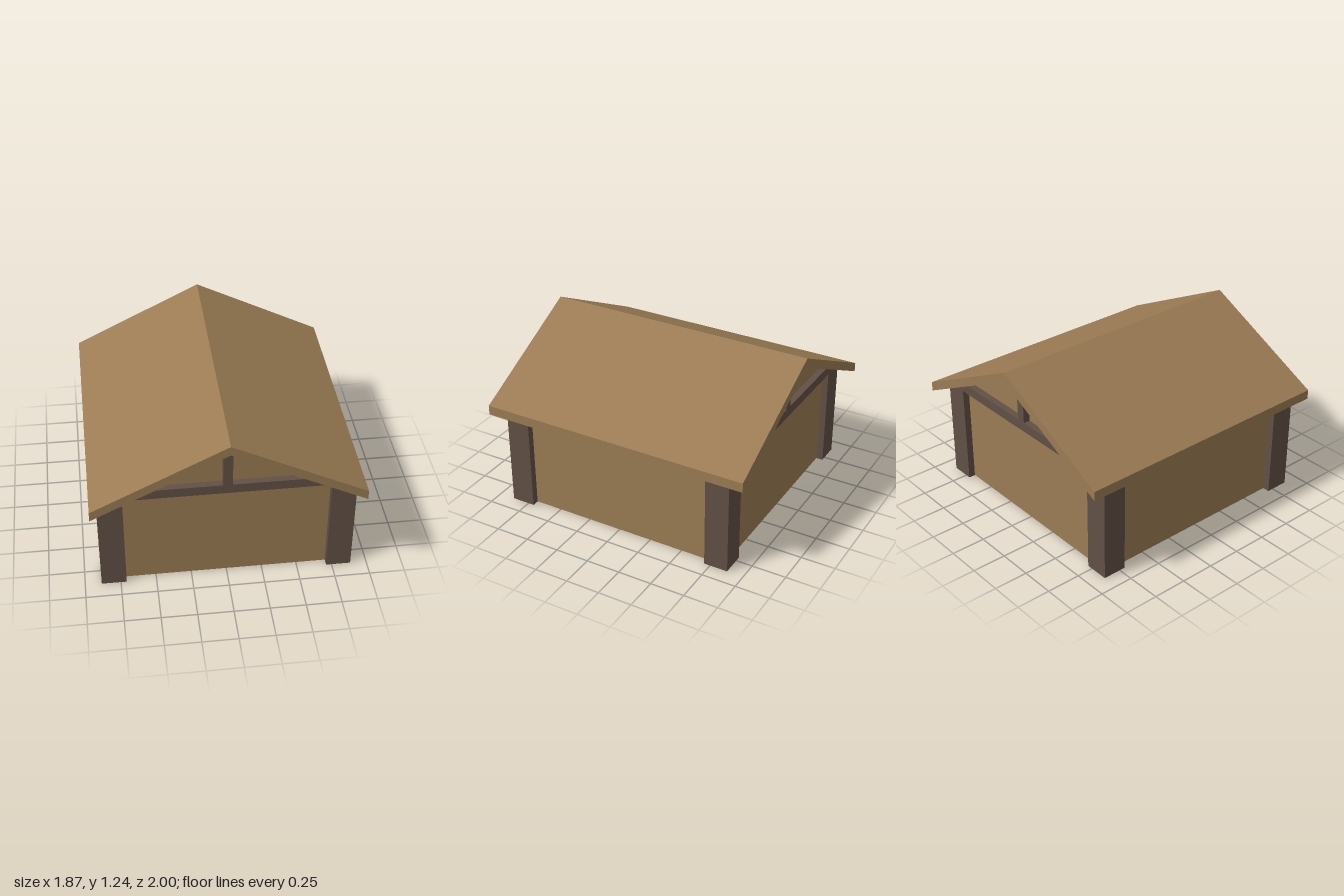
import * as THREE from 'three';

const wood = new THREE.MeshStandardMaterial({ color: 0x9b7c54 });
wood.name = 'tan wood';
const timber = new THREE.MeshStandardMaterial({ color: 0x615045 });
timber.name = 'dark timber';

// Extrude an outline in the x-y plane from z0 to z1
function prism(name, points, z0, z1, material) {
  const shape = new THREE.Shape(points.map(([x, y]) => new THREE.Vector2(x, y)));
  const geometry = new THREE.ExtrudeGeometry(shape, { depth: z1 - z0, bevelEnabled: false });
  geometry.translate(0, 0, z0);
  const mesh = new THREE.Mesh(geometry, material);
  mesh.name = name;
  return mesh;
}

export function createModel() {
  const model = new THREE.Group();
  model.name = 'gabledHouse';

  const ridge = 1.17, slope = 0.5;
  const under = (x) => ridge - slope * Math.abs(x); // underside of the roof
  const roofX = 0.933, thick = 0.07;
  const wallX = 0.835, wallZ = 0.83;
  const postIn = 0.71, postOut = 0.885, postZ = 0.88;

  // Walls with gables
  model.add(prism('walls', [
    [-wallX, 0.002], [wallX, 0.002], [wallX, under(wallX)], [0, ridge], [-wallX, under(wallX)],
  ], -wallZ, wallZ, wood));

  // Gable roof
  model.add(prism('roof', [
    [-roofX, under(roofX)], [0, ridge], [roofX, under(roofX)],
    [roofX, under(roofX) + thick], [0, ridge + thick], [-roofX, under(roofX) + thick],
  ], -1, 1, wood));

  for (const end of [1, -1]) {
    const name = end > 0 ? 'front' : 'back';
    const span = (a, b) => (end > 0 ? [a, b] : [-b, -a]);

    // Corner posts, cut to the roof slope
    for (const side of [1, -1]) {
      model.add(prism(name + (side > 0 ? 'Left' : 'Right') + 'Post', [
        [side * postIn, 0], [side * postOut, 0],
        [side * postOut, under(postOut)], [side * postIn, under(postIn)],
      ], ...span(0.705, postZ), timber));
    }

    // Tie beam and king post
    model.add(prism(name + 'Beam', [
      [-postIn, 0.75], [postIn, 0.75], [postIn, under(postIn)], [0.7, 0.82], [-0.7, 0.82], [-postIn, under(postIn)],
    ], ...span(wallZ, postZ), timber));
    model.add(prism(name + 'KingPost', [
      [-0.033, 0.82], [0.033, 0.82], [0.033, under(0.033)], [0, ridge], [-0.033, under(0.033)],
    ], ...span(wallZ, postZ), timber));
  }
  return model;
}
